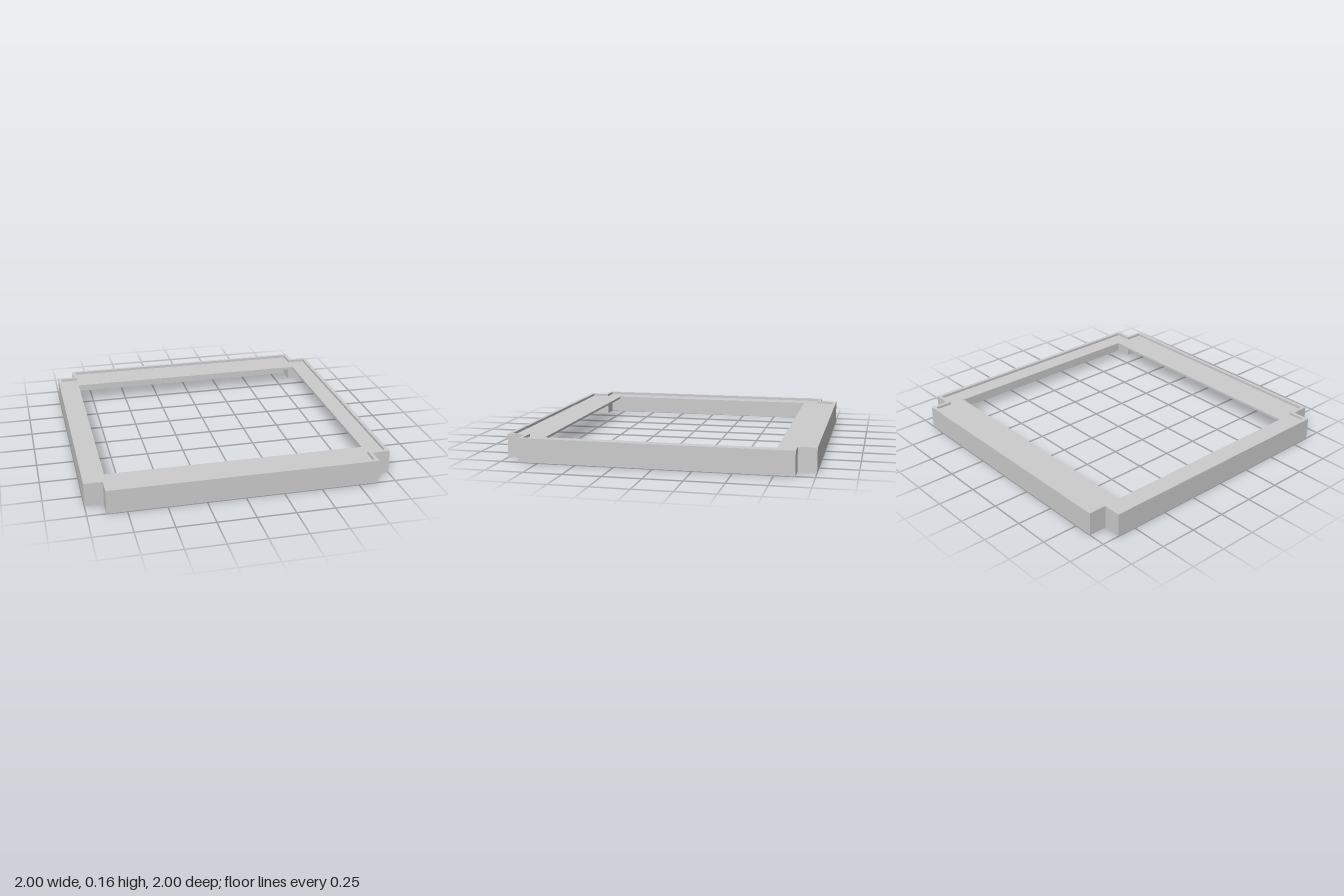
import * as THREE from 'three';

const HEIGHT = 0.157;
const WALL = 0.024;

// Square outline with a square notch cut from each corner
function notchedOutline(half, notch) {
  return [
    [notch, -half], [notch, -notch], [half, -notch],
    [half, notch], [notch, notch], [notch, half],
    [-notch, half], [-notch, notch], [-half, notch],
    [-half, -notch], [-notch, -notch], [-notch, -half],
  ].map(([x, y]) => new THREE.Vector2(x, y));
}

function rectangle(halfX, halfZ) {
  return [[-1, -1], [1, -1], [1, 1], [-1, 1]]
    .map(([x, z]) => new THREE.Vector2(x * halfX, z * halfZ));
}

// Horizontal slab with an opening, from height y0 to y1
function slab(name, outline, opening, y0, y1, material) {
  const shape = new THREE.Shape(outline);
  shape.holes.push(new THREE.Path(opening));
  const geometry = new THREE.ExtrudeGeometry(shape, { depth: y1 - y0, bevelEnabled: false });
  geometry.rotateX(-Math.PI / 2);
  geometry.translate(0, y0, 0);
  const mesh = new THREE.Mesh(geometry, material);
  mesh.name = name;
  return mesh;
}

export function createModel() {
  const group = new THREE.Group();
  group.name = 'notchedFrame';
  const material = new THREE.MeshStandardMaterial({ color: 0xcccccc, flatShading: true });

  const outer = notchedOutline(1, 0.88);
  const inner = notchedOutline(1 - WALL, 0.88 - WALL);

  // Thin upright wall around the edge
  group.add(slab('outerWall', outer, inner, 0, HEIGHT, material));

  // Thin plate set just below the rim, with a rectangular opening
  group.add(slab('topPlate', inner, rectangle(0.856, 0.75), 0.124, 0.14, material));

  return group;
}
